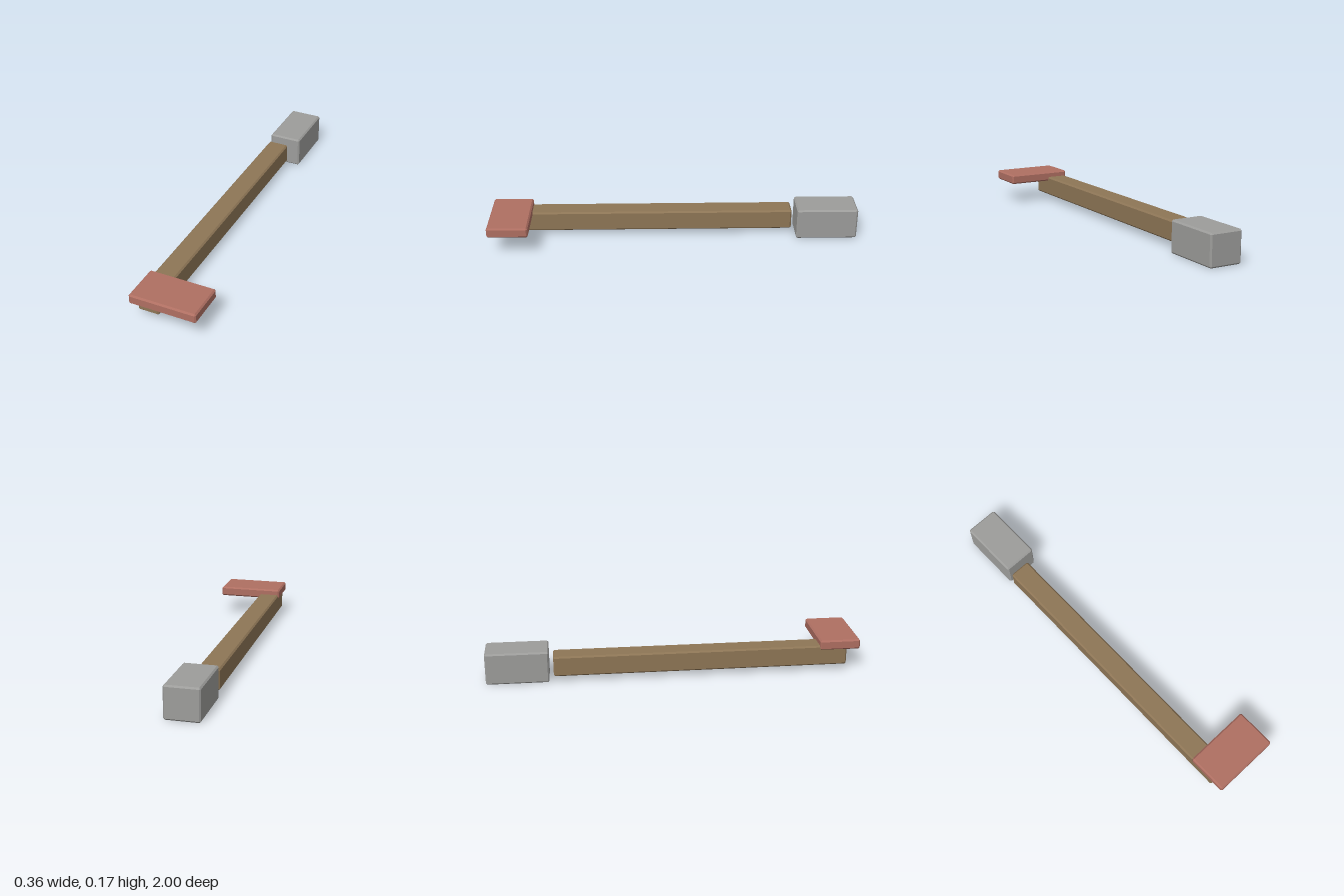
import * as THREE from 'three';
import { ConvexGeometry } from 'three/addons/geometries/ConvexGeometry.js';

// Box with flat chamfered edges, given by its two extreme corners
function chamferedBox(name, material, min, max, bevel) {
  const center = min.map((v, i) => (v + max[i]) / 2);
  const half = min.map((v, i) => (max[i] - v) / 2);
  const points = [];
  for (const sx of [-1, 1]) for (const sy of [-1, 1]) for (const sz of [-1, 1]) {
    // each corner becomes three points, one on each adjoining face
    for (let face = 0; face < 3; face++) {
      const p = [sx, sy, sz].map((s, i) => s * (half[i] - (i === face ? 0 : bevel)));
      points.push(new THREE.Vector3(...p));
    }
  }
  const mesh = new THREE.Mesh(new ConvexGeometry(points), material);
  mesh.name = name;
  mesh.position.set(...center);
  return mesh;
}

function makeMaterial(name, color) {
  const material = new THREE.MeshStandardMaterial({ color });
  material.name = name;
  return material;
}

export function createModel() {
  const wood = makeMaterial('brown wood', 0x8e7656);
  const brick = makeMaterial('brick red', 0xaf6f62);
  const stone = makeMaterial('stone grey', 0x9d9d9b);

  const model = new THREE.Group();
  model.name = 'buildingMaterials';

  // long timber, a tile resting over its front end, and a block behind it
  model.add(
    chamferedBox('timberBeam', wood, [-0.175, 0.03, -0.645], [-0.06, 0.14, 0.93], 0.008),
    chamferedBox('redTile', brick, [-0.181, 0.117, 0.782], [0.179, 0.171, 1], 0.008),
    chamferedBox('stoneBlock', stone, [-0.178, 0, -1], [0.003, 0.171, -0.668], 0.008),
  );
  return model;
}
